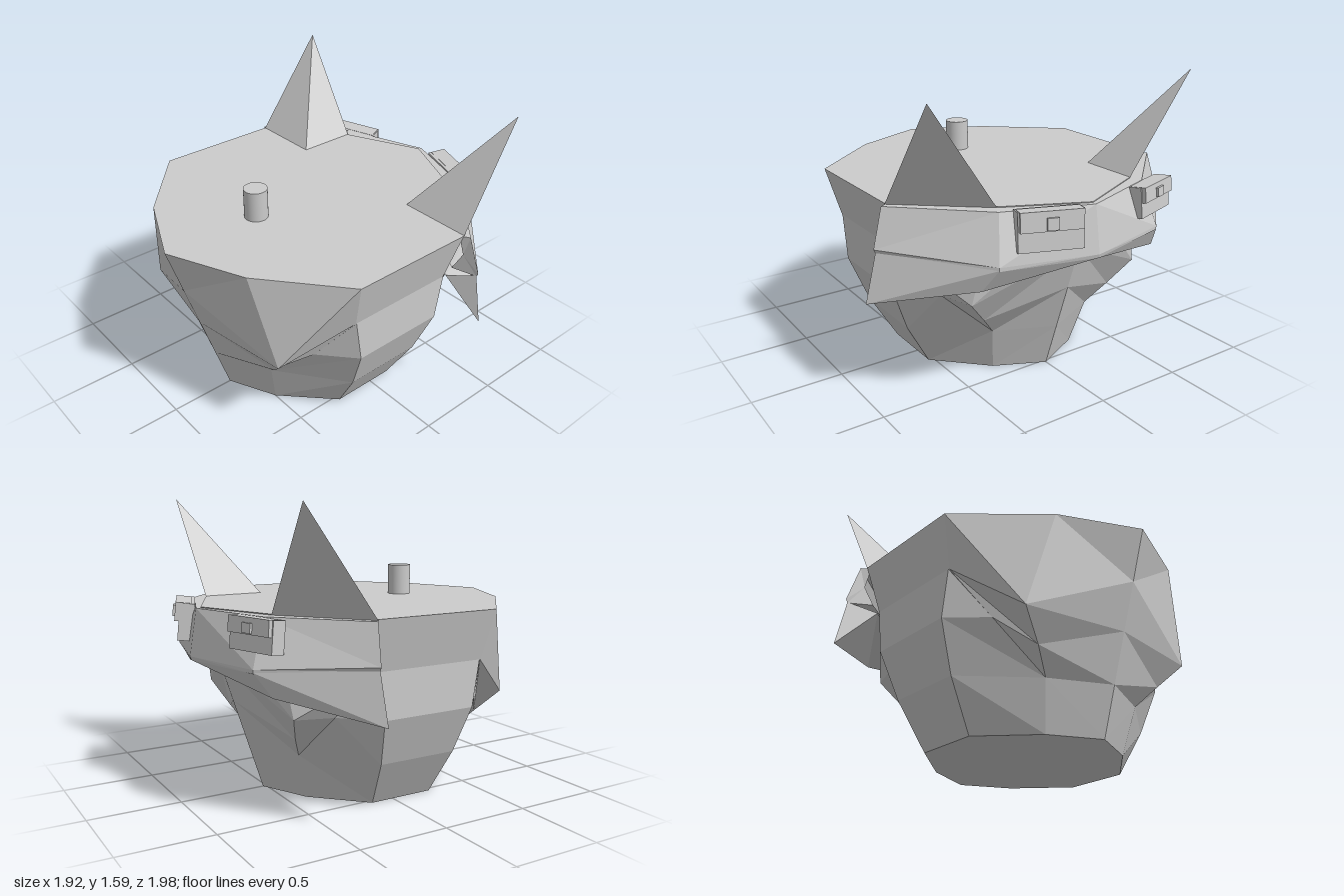
import * as THREE from 'three';

const material = new THREE.MeshStandardMaterial({ color: 0xcccccc, flatShading: true, side: THREE.DoubleSide });

function named(geometry, name) {
  const mesh = new THREE.Mesh(geometry, material);
  mesh.name = name;
  return mesh;
}

// Faceted skin over a grid of points on the +z side, mirrored to -z.
// Columns run from the +x front round to the back; rows run upwards.
function mirroredSkin(columns, name) {
  const pos = [];
  const tri = (...pts) => {
    const [a, b, c] = pts.map((p) => new THREE.Vector3(...p));
    if (b.clone().sub(a).cross(c.clone().sub(a)).length() < 1e-6) return;
    for (const p of [a, b, c]) pos.push(p.x, p.y, p.z);
    for (const p of [a, c, b]) pos.push(p.x, p.y, -p.z);
  };
  for (let i = 0; i + 1 < columns.length; i++) {
    const p = columns[i], q = columns[i + 1];
    for (let j = 0; j + 1 < p.length; j++) {
      tri(p[j], p[j + 1], q[j]);
      tri(q[j], p[j + 1], q[j + 1]);
    }
  }
  const geometry = new THREE.BufferGeometry();
  geometry.setAttribute('position', new THREE.Float32BufferAttribute(pos, 3));
  geometry.computeVertexNormals();
  return named(geometry, name);
}

// Body: tapering ten-sided tub with a folded flap at each diagonal corner
function createBody() {
  const ys = [0, 0.26, 0.52, 0.77, 1.04];
  const sideZ = [0.53, 0.68, 0.78, 0.78, 0.85];
  const column = (x0, x1, zs) => ys.map((y, i) => [x0 + (x1 - x0) * y / 1.04, y, zs ? zs[i] : 0]);
  const columns = [
    column(0.52, 0.86),
    [[0.39, 0, 0.27], [0.46, 0.26, 0.32], [0.53, 0.38, 0.42], [0.6, 0.52, 0.54], [0.66, 1.04, 0.43]],
    [[0.39, 0, 0.27], [0.46, 0.26, 0.32], [0.4, 0.52, 0.6], [0.26, 0.77, 0.78], [0.31, 1.04, 0.85]],
    column(0.13, 0.31, sideZ),
    column(-0.24, -0.41, sideZ),
    [[-0.5, 0, 0.27], [-0.56, 0.26, 0.32], [-0.49, 0.52, 0.6], [-0.37, 0.77, 0.78], [-0.41, 1.04, 0.85]],
    [[-0.5, 0, 0.27], [-0.56, 0.26, 0.32], [-0.63, 0.38, 0.43], [-0.7, 0.52, 0.57], [-0.77, 1.04, 0.43]],
    column(-0.63, -0.96),
  ];
  // Close the bottom and the top with fans
  return mirroredSkin(columns.map((c) => [[-0.05, 0, 0], ...c, [-0.05, 1.04, 0]]), 'body');
}

// Band: thick brow strip wrapped round the front
function createBand() {
  const end = [0.32, 0.92, 0.85];
  return mirroredSkin([
    [[0.8, 0.77, 0], [0.92, 0.765, 0], [0.925, 0.785, 0], [0.885, 1.035, 0], [0.82, 1.035, 0]],
    [[0.6, 0.78, 0.4], [0.8, 0.77, 0.51], [0.8, 0.79, 0.51], [0.72, 1.035, 0.46], [0.64, 1.035, 0.4]],
    [[0.3, 0.82, 0.8], [0.35, 0.81, 0.93], [0.35, 0.83, 0.94], [0.33, 1.035, 0.88], [0.3, 1.035, 0.83]],
    [end, end, end, end, end],
  ], 'browBand');
}

// Cheeks: pointed wings sweeping out below the band
function createCheeks() {
  const nose = [0.92, 0.765, 0], tip = [0.34, 0.55, 0.99], root = [0.28, 0.77, 0.78];
  return mirroredSkin([
    [[0.77, 0.77, 0], nose, nose],
    [[0.58, 0.72, 0.42], [0.72, 0.65, 0.56], [0.8, 0.775, 0.51]],
    [root, tip, [0.35, 0.815, 0.93]],
    [root, root, root],
  ], 'cheeks');
}

// Ears: leaning three-sided spikes
function createEars() {
  const apex = [0.685, 1.59, 0.815];
  const corners = [[0.66, 1.035, 0.43], [0.31, 1.035, 0.85], [0.31, 1.035, 0.43], [0.66, 1.035, 0.43]];
  return mirroredSkin(corners.map((c) => [[0.43, 1.035, 0.57], c, apex]), 'ears');
}

// Pouch: box with an overhanging flap and a small clasp
function createPouch(name, x, y, z, yaw, width, height) {
  const pouch = new THREE.Group();
  pouch.name = name;
  const box = (part, w, h, d, px, py) => {
    const mesh = named(new THREE.BoxGeometry(w, h, d), part);
    mesh.position.set(px, py, 0);
    pouch.add(mesh);
  };
  box('pouchBase', 0.08, height, width, -0.01, 0);
  box('pouchFlap', 0.085, height * 0.5, width * 0.96, 0.01, height * 0.26);
  box('pouchClasp', 0.02, height * 0.3, 0.06, 0.056, height * 0.2);
  pouch.position.set(x, y, z);
  pouch.rotation.set(0, yaw, 0.1);
  return pouch;
}

export function createModel() {
  const model = new THREE.Group();
  model.name = 'model';

  const stem = named(new THREE.CylinderGeometry(0.065, 0.065, 0.19, 32), 'topStem');
  stem.material = new THREE.MeshStandardMaterial({ color: 0xcccccc });
  stem.position.set(-0.39, 1.115, 0);

  model.add(
    createBody(),
    createBand(),
    createCheeks(),
    createEars(),
    stem,
    createPouch('leftPouch', 0.855, 0.95, 0.26, -0.36, 0.33, 0.2),
    createPouch('rightPouch', 0.77, 0.955, -0.48, 0.31, 0.3, 0.165),
  );
  return model;
}
